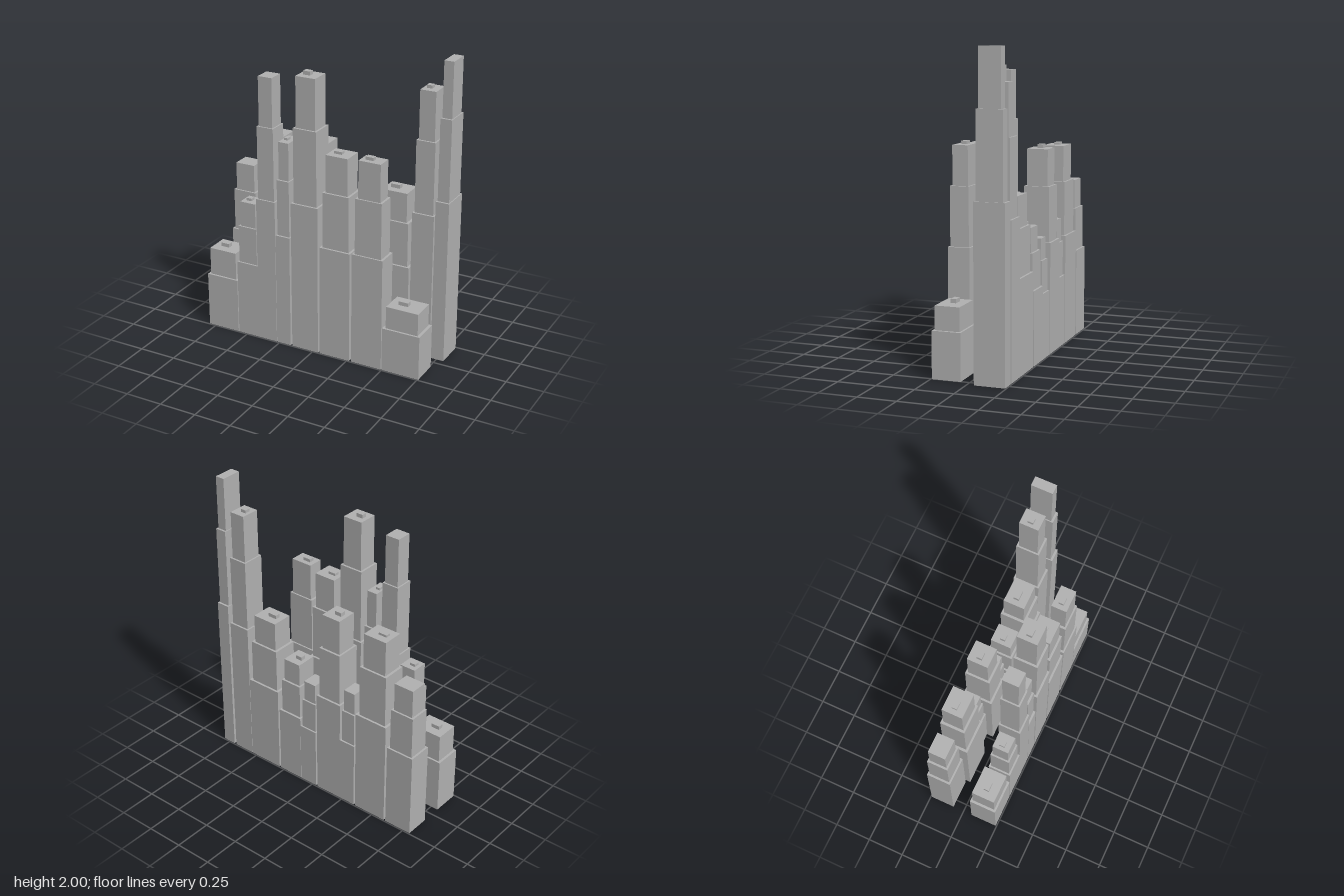
import * as THREE from 'three';

const EDGE = 0.243; // outer z line of both rows

// [x min, x max, inner z, height, roof unit height (0 = none)]
const backRow = [
  [-0.80, -0.607, -0.077, 1.06, 0],
  [-0.593, -0.358, -0.048, 1.315, 0.015],
  [-0.346, -0.23, -0.09, 0.847, 0],
  [-0.23, -0.04, -0.045, 1.325, 0.025],
  [-0.028, 0.10, -0.092, 0.775, 0],
  [0.102, 0.28, -0.045, 0.87, 0.025],
  [0.293, 0.54, -0.042, 1.10, 0.025],
  [0.543, 0.693, -0.064, 1.79, 0.02],
  [0.71, 0.80, -0.045, 2.0, 0],
];
const frontRow = [
  [-0.80, -0.57, 0.06, 0.565, 0.025],
  [-0.565, -0.41, 0.09, 0.945, 0.017],
  [-0.41, -0.273, 0.094, 1.815, 0],
  [-0.27, -0.168, 0.056, 1.405, 0.015],
  [-0.155, 0.037, 0.06, 1.855, 0.025],
  [0.05, 0.265, 0.053, 1.38, 0.017],
  [0.28, 0.493, 0.10, 1.39, 0.02],
  [0.498, 0.757, 0.056, 0.45, 0.025],
];

// Box without its underside, standing on y = 0
function openBox(w, h, d) {
  const geo = new THREE.BoxGeometry(w, h, d).translate(0, h / 2, 0);
  const index = Array.from(geo.index.array);
  index.splice(18, 6); // the -y face
  geo.setIndex(index);
  geo.clearGroups();
  return geo;
}

export function createModel() {
  const model = new THREE.Group();
  model.name = 'skyline';
  const concrete = new THREE.MeshStandardMaterial({ color: 0xb0b0b0, side: THREE.DoubleSide });
  concrete.name = 'concrete grey';

  function addBuilding(row, [x0, x1, zInner, height, roof], zOuter) {
    const building = new THREE.Group();
    building.name = 'building';
    const w = x1 - x0;
    const d = Math.abs(zOuter - zInner);
    building.position.set((x0 + x1) / 2, 0, (zOuter + zInner) / 2);

    // Stepped tiers: low buildings have two, the others three
    const tops = height < 0.7 ? [0.665, 1] : [0.55, 0.82, 1];
    let y = 0;
    tops.forEach((t, i) => {
      const s = 1 - 0.145 * i;
      const tier = new THREE.Mesh(openBox(w * s, t * height - y, d * s), concrete);
      tier.name = ['baseTier', 'secondTier', 'thirdTier'][i];
      tier.position.y = y;
      building.add(tier);
      y = t * height;
    });

    // Small rooftop plant room
    if (roof) {
      const unit = new THREE.Mesh(openBox(w * 0.25, roof, 0.036), concrete);
      unit.name = 'roofUnit';
      unit.position.set(-0.08 * w, height, 0);
      building.add(unit);
    }
    row.add(building);
  }

  for (const [name, list, z] of [['backRow', backRow, -EDGE], ['frontRow', frontRow, EDGE]]) {
    const row = new THREE.Group();
    row.name = name;
    list.forEach((b) => addBuilding(row, b, z));
    model.add(row);
  }
  return model;
}
